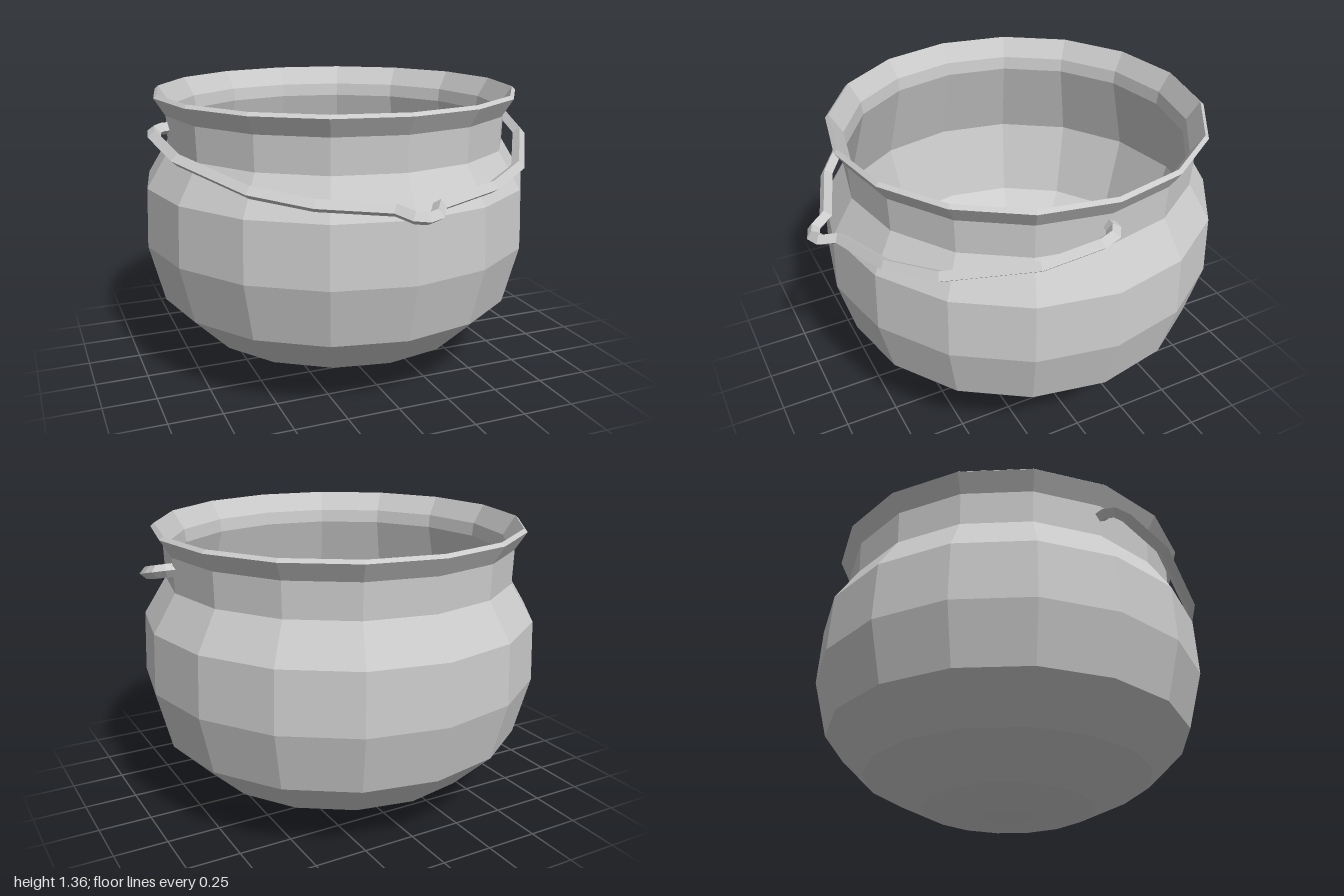
import * as THREE from 'three';

const SIDES = 16;

// Sweeps a diamond section along a path lying in the local xz plane, with mitred corners.
function sweepDiamond(path, r) {
  const positions = [], index = [];
  const last = path.length - 1;
  path.forEach((p, i) => {
    const before = p.clone().sub(path[Math.max(i - 1, 0)]).normalize();
    const after = path[Math.min(i + 1, last)].clone().sub(p).normalize();
    const t = before.clone().add(after).normalize();
    const mitre = r / Math.max(0.6, t.dot(i < last ? after : before));
    const nx = -t.y * mitre, nz = t.x * mitre;
    positions.push(
      p.x + nx, 0, p.y + nz,
      p.x, -r, p.y,
      p.x - nx, 0, p.y - nz,
      p.x, r, p.y);
    if (i === last) return;
    for (let k = 0; k < 4; k++) {
      const a = i * 4 + k, b = i * 4 + (k + 1) % 4;
      index.push(a, b, b + 4, a, b + 4, a + 4);
    }
  });
  const geometry = new THREE.BufferGeometry();
  geometry.setAttribute('position', new THREE.Float32BufferAttribute(positions, 3));
  geometry.setIndex(index);
  geometry.computeVertexNormals();
  return geometry;
}

export function createModel() {
  const model = new THREE.Group();
  model.name = 'cauldron';
  const material = new THREE.MeshStandardMaterial({ color: 0xcccccc, flatShading: true });

  // Pot: outer wall upward, over the flared rim, then down the inside of the thin wall
  const profile = [
    [0, 0], [0.12, 0.004], [0.41, 0.04], [0.695, 0.18], [0.88, 0.366], [0.95, 0.643],
    [0.937, 0.925], [0.829, 1.1], [0.833, 1.26], [0.885, 1.343], [0.868, 1.358],
    [0.81, 1.265], [0.802, 1.2], [0.915, 0.8], [0.815, 0.42], [0.575, 0.25],
    [0.225, 0.08], [0, 0.006],
  ].map(([x, y]) => new THREE.Vector2(x, y));
  const pot = new THREE.Mesh(new THREE.LatheGeometry(profile, SIDES), material);
  pot.name = 'pot';
  pot.position.z = -0.05;
  model.add(pot);

  // Bail handle: one half mirrored, with hooked ends and a small grip notch in the middle
  const half = [
    [0.815, 0], [0.86, 0.005], [0.895, 0.03], [0.905, 0.09], [0.855, 0.34], [0.635, 0.69],
    [0.41, 0.85], [0.1, 0.955], [0.05, 1.03],
  ].map(([x, z]) => new THREE.Vector2(x, z));
  const mirrored = half.map(p => new THREE.Vector2(-p.x, p.y)).reverse();
  const path = [...half, new THREE.Vector2(0, 1.048), ...mirrored];
  const handle = new THREE.Mesh(sweepDiamond(path, 0.03), material);
  handle.name = 'handle';
  handle.position.set(0, 1.205, -0.045);
  handle.rotation.x = 0.24;
  model.add(handle);

  return model;
}
